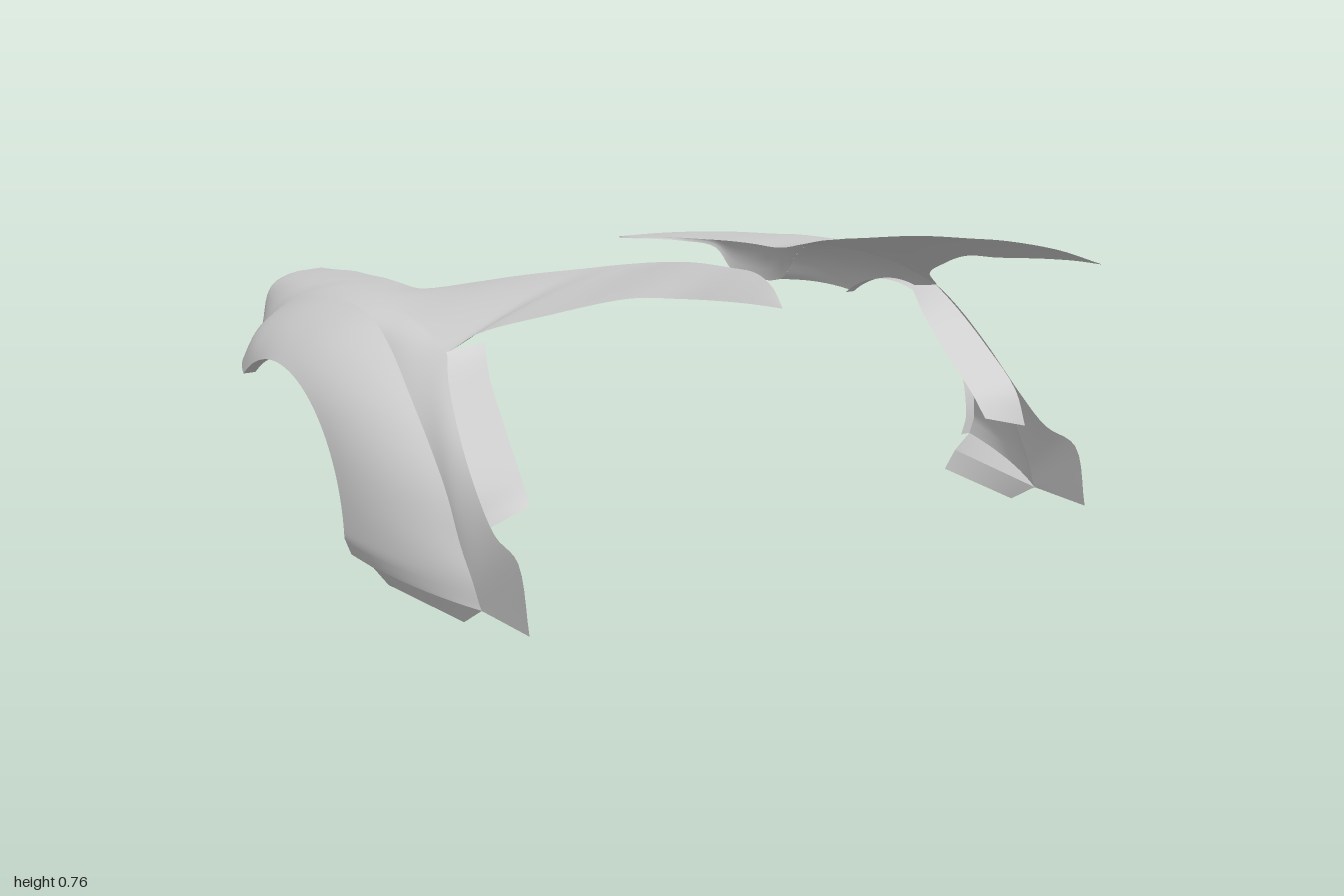
import * as THREE from 'three';
import { mergeGeometries, mergeVertices } from 'three/addons/utils/BufferGeometryUtils.js';

const V = (p) => new THREE.Vector3(...p);
const rail = (pts) => new THREE.CatmullRomCurve3(pts.map(V));
const at = (curve, station) => curve.getPoint(Math.min(1, station / (curve.points.length - 1)));
const quad = (a, b, c, n) => new THREE.QuadraticBezierCurve3(a, b, c).getPoints(n);
const line = (a, b, n) => Array.from({ length: n + 1 }, (_, i) => a.clone().lerp(b, i / n));

// Surface through rows of points; each row holds one cross-section
function loft(rows) {
  const w = rows[0].length, index = [];
  for (let i = 0; i < rows.length - 1; i++)
    for (let j = 0; j < w - 1; j++) {
      const a = i * w + j, b = a + w;
      index.push(a, b, a + 1, a + 1, b, b + 1);
    }
  const g = new THREE.BufferGeometry().setFromPoints(rows.flat());
  g.setIndex(index);
  return g;
}

// Sample cross-sections between two stations
function sections(from, to, steps, fn) {
  return Array.from({ length: steps + 1 }, (_, i) => fn(from + (to - from) * i / steps));
}

// Inner rail: tail, deck edge, rear-window edge, roof tip
const inner = rail([
  [.48, .53, -1], [.483, .54, -.9], [.49, .553, -.8], [.495, .56, -.74], [.51, .57, -.62], [.52, .58, -.5],
  [.53, .585, -.4], [.53, .59, -.28], [.485, .625, -.12], [.43, .66, .03], [.36, .69, .18], [.32, .708, .27],
  [.295, .722, .35], [.31, .75, .53], [.325, .763, .68], [.34, .77, .79], [.38, .762, .9], [.42, .74, .985]]);

// Shoulder line from the tail to the corner of the side window
const shoulder = [
  [.48, .53, -1], [.58, .54, -.93], [.62, .552, -.84], [.64, .562, -.76], [.655, .575, -.64], [.66, .588, -.5],
  [.665, .597, -.4], [.67, .6, -.24], [.68, .59, -.08], [.69, .572, .06], [.7, .54, .165]];
const windowEdge = rail([...shoulder, [.645, .578, .2], [.55, .635, .35], [.465, .69, .53], [.433, .707, .66],
  [.43, .725, .8], [.427, .735, .9], [.42, .74, .985]]);
const doorEdge = rail([...shoulder, [.725, .49, .22], [.75, .4, .31], [.765, .3, .41], [.772, .23, .5],
  [.775, .2, .6], [.775, .06, .64]]);

// Fullness of the side between the shoulder and the flare
const fullness = rail([
  [.48, .529, -1], [.64, .535, -.91], [.71, .54, -.83], [.755, .55, -.76], [.77, .57, -.64], [.75, .58, -.52],
  [.73, .595, -.42], [.72, .6, -.24], [.73, .59, -.08], [.74, .57, .04], [.75, .51, .15], [.77, .45, .22],
  [.785, .37, .3], [.79, .25, .39], [.785, .17, .46], [.78, .13, .53], [.78, .06, .55]]);

// Outer rail: tail, lamp cut-out, then the seam around the flare
const seam = rail([
  [.48, .525, -1], [.64, .515, -.9], [.705, .5, -.82], [.74, .43, -.77], [.81, .42, -.64], [.81, .505, -.56],
  [.775, .565, -.43], [.75, .592, -.24], [.757, .578, -.08], [.77, .53, .04], [.785, .45, .16], [.79, .37, .25],
  [.792, .28, .33], [.793, .18, .39], [.79, .12, .43], [.785, .06, .46], [.785, .06, .465]]);

// Wheel opening: an arc, then a short straight drop at its front end
const SWEEP = THREE.MathUtils.degToRad(127), RADIUS = .33, HUB = V([0, .14, -.24]);
function archPoint(s) {
  const k = Math.min(1, s / .93), drop = Math.max(0, (s - .93) / .07);
  const a = SWEEP * (1 - k);
  return V([.928 - .008 * k - .015 * drop, HUB.y + RADIUS * Math.sin(a) - .04 * drop, HUB.z + RADIUS * Math.cos(a)]);
}

function flareSection(s) {
  const a = at(seam, 4 + 11 * s), b = archPoint(s);
  const mid = a.clone().lerp(b, .5);
  const out = mid.clone().sub(HUB).setX(0).setLength(.02);
  return quad(a, mid.add(out).add(V([.03, 0, 0])), b, 10);
}

function panelGeometries() {
  // Deck, pillar and side join into one smooth skin
  const topSection = (outer) => (t) => {
    const a = at(inner, t), b = at(outer, t);
    const width = a.distanceTo(b);
    return quad(a, a.clone().lerp(b, .5).add(V([0, .06 * width, 0])), b, 6);
  };
  const body = mergeVertices(mergeGeometries([
    loft(sections(0, 10, 50, topSection(doorEdge))),
    loft(sections(10, 17, 42, topSection(windowEdge))),
    loft(sections(0, 16, 80, (t) => quad(at(doorEdge, t), at(fullness, t), at(seam, t), 8))),
  ]), 1e-4);

  const flare = loft(sections(0, 1, 60, flareSection));

  // Return flange around the wheel opening
  const lip = loft(sections(0, 1, 60, (s) => {
    const p = archPoint(s);
    return [p, p.clone().add(V([-.03, 0, 0]))];
  }));

  // Stepped sill below the front of the flare
  const sillTop = flareSection(1), n = sillTop.length - 1;
  const sillMid = line(sillTop[0], V([.855, .06, .09]), n);
  const sillLow = line(V([.785, .01, .38]), V([.82, .013, .09]), n);
  const step = loft([sillTop, sillMid]), sill = loft([sillMid, sillLow]);

  // Door jamb turned in behind the door edge
  const jambIn = rail([[.61, .55, .17], [.62, .48, .21], [.63, .39, .29], [.64, .31, .37], [.645, .25, .42]]);
  const jambOut = rail([[.7, .54, .165], [.725, .485, .22], [.75, .395, .31], [.765, .3, .4], [.772, .215, .43]]);
  const jamb = loft(sections(0, 4, 16, (t) => line(at(jambIn, t), at(jambOut, t), 2)));

  return { quarterPanel: body, wheelFlare: flare, archLip: lip, sillStep: step, sill, doorJamb: jamb };
}

function mirror(geometry) {
  const g = geometry.clone().scale(-1, 1, 1), idx = g.index.array;
  for (let i = 0; i < idx.length; i += 3) [idx[i], idx[i + 1]] = [idx[i + 1], idx[i]];
  return g;
}

export function createModel() {
  const model = new THREE.Group();
  model.name = 'rearQuarterPanels';
  const sheet = new THREE.MeshStandardMaterial({ color: 0xcccccc, side: THREE.DoubleSide });
  const oneSided = new THREE.MeshStandardMaterial({ color: 0xcccccc });
  const parts = panelGeometries();
  for (const side of ['left', 'right']) {
    const group = new THREE.Group();
    group.name = side + 'Quarter';
    for (const [name, geometry] of Object.entries(parts)) {
      const g = side === 'left' ? geometry.clone() : mirror(geometry);
      g.computeVertexNormals();
      const mesh = new THREE.Mesh(g, name === 'doorJamb' ? oneSided : sheet);
      mesh.name = name;
      group.add(mesh);
    }
    model.add(group);
  }
  return model;
}
